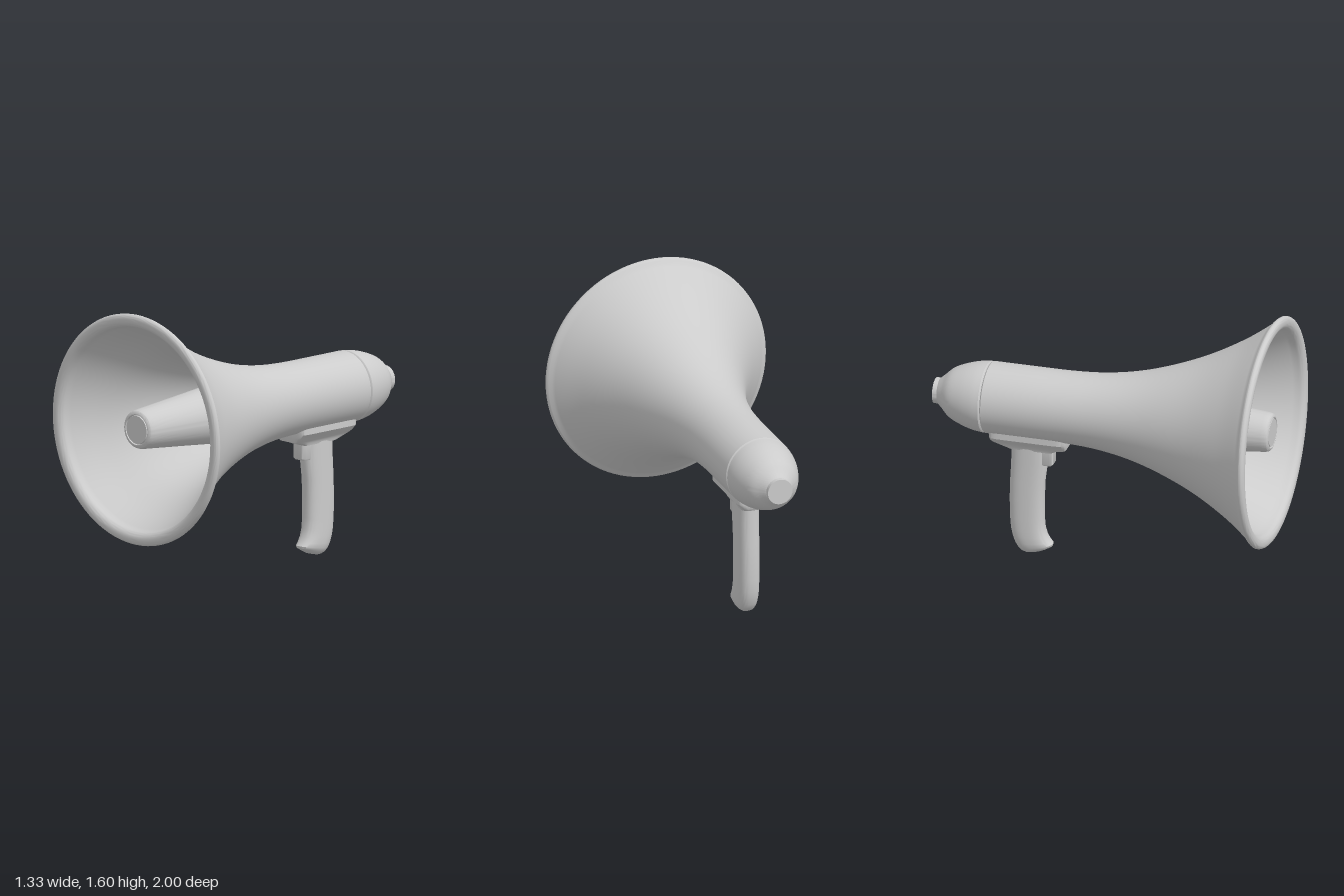
import * as THREE from 'three';
import { toCreasedNormals, mergeVertices } from 'three/addons/utils/BufferGeometryUtils.js';

const AXIS_Y = 0.933; // height of the horn axis

const material = new THREE.MeshStandardMaterial({ color: 0xcccccc });

// Smooth curve through [radius, z] points, returned as the same kind of pairs
function smooth(points, count) {
  const curve = new THREE.SplineCurve(points.map(([r, z]) => new THREE.Vector2(r, z)));
  return curve.getPoints(count).map((p) => [p.x, p.y]);
}

// Turned part around the horn axis; profile is [radius, z], outer side running forward
function turned(name, profile) {
  const pts = profile.map(([r, z]) => new THREE.Vector2(Math.max(r, 0), z));
  const geo = new THREE.LatheGeometry(pts, 96);
  geo.rotateX(Math.PI / 2);
  const mesh = new THREE.Mesh(toCreasedNormals(geo, 0.6), material);
  mesh.name = name;
  mesh.position.y = AXIS_Y;
  return mesh;
}

// Loft downward through superellipse sections: [front z, front y, back z, back y, half width]
function loft(name, sections, exponent, segments = 48) {
  const first = sections[0], last = sections[sections.length - 1];
  const collapse = ([fz, fy, bz, by]) => {
    const z = (fz + bz) / 2, y = (fy + by) / 2;
    return [z, y, z, y, 0];
  };
  const rings = [collapse(first), ...sections, collapse(last)];
  const power = (v) => Math.sign(v) * Math.pow(Math.abs(v), 2 / exponent);
  const pos = [], index = [];
  rings.forEach(([fz, fy, bz, by, hw], i) => {
    for (let j = 0; j < segments; j++) {
      const t = (j / segments) * Math.PI * 2;
      const k = (1 + power(Math.cos(t))) / 2; // 0 at the back, 1 at the front
      pos.push(power(Math.sin(t)) * hw, by + (fy - by) * k, bz + (fz - bz) * k);
      if (i === rings.length - 1) continue;
      const a = i * segments + j, b = i * segments + ((j + 1) % segments);
      const c = a + segments, d = b + segments;
      if (i > 0) index.push(a, c, b);
      if (i < rings.length - 2) index.push(b, c, d);
    }
  });
  const geo = new THREE.BufferGeometry();
  geo.setAttribute('position', new THREE.Float32BufferAttribute(pos, 3));
  geo.setIndex(index);
  const mesh = new THREE.Mesh(toCreasedNormals(mergeVertices(geo), 0.7), material);
  mesh.name = name;
  return mesh;
}

export function createModel() {
  const model = new THREE.Group();
  model.name = 'megaphone';

  // Flared horn: outer wall, rolled rim, inner wall down to the throat
  model.add(turned('horn', [
    [0.19, -0.688], [0.2, -0.684],
    ...smooth([[0.205, -0.678], [0.205, -0.45], [0.207, -0.2], [0.222, 0], [0.26, 0.2],
      [0.324, 0.4], [0.41, 0.6], [0.525, 0.8], [0.635, 0.95]], 48),
    ...smooth([[0.652, 0.96], [0.663, 0.975], [0.656, 0.993], [0.638, 1], [0.612, 0.997],
      [0.593, 0.982], [0.585, 0.962]], 20),
    ...smooth([[0.582, 0.945], [0.505, 0.8], [0.39, 0.6], [0.304, 0.4], [0.24, 0.2],
      [0.21, 0.04], [0.205, 0]], 36),
  ]));

  // Tapered driver cone inside the horn, with a round tip and a thin groove
  model.add(turned('innerCone', [
    [0.212, 0.005], [0.204, 0.03],
    ...smooth([[0.198, 0.06], [0.155, 0.5], [0.114, 0.94]], 12),
    ...smooth([[0.112, 0.955], [0.106, 0.972], [0.092, 0.98]], 8),
    [0.087, 0.98], [0.085, 0.97], [0.082, 0.97], [0.08, 0.98], [0, 0.98],
  ]));

  // Domed rear cap with its short end stub
  model.add(turned('rearCap', [
    [0, -1], [0.074, -1], [0.074, -0.974],
    ...smooth([[0.078, -0.97], [0.1, -0.945], [0.145, -0.895], [0.178, -0.82], [0.197, -0.75],
      [0.204, -0.695]], 28),
    [0.2, -0.69], [0.19, -0.686],
  ]));

  // Mounting plate that narrows toward the grip
  model.add(loft('handleMount', [
    [-0.218, 0.78, -0.656, 0.78, 0.12],
    [-0.214, 0.775, -0.66, 0.775, 0.125],
    [-0.214, 0.735, -0.66, 0.735, 0.125],
    [-0.215, 0.705, -0.658, 0.705, 0.095],
    [-0.22, 0.682, -0.65, 0.69, 0.076],
    [-0.27, 0.67, -0.6, 0.67, 0.066],
    [-0.3, 0.655, -0.555, 0.655, 0.062],
  ], 10));

  // Trigger under the plate
  model.add(loft('trigger', [
    [-0.3, 0.69, -0.42, 0.69, 0.045],
    [-0.3, 0.575, -0.42, 0.572, 0.045],
    [-0.308, 0.565, -0.42, 0.565, 0.04],
  ], 6));

  // Pistol grip with a forward lip at its rounded foot
  model.add(loft('grip', [
    [-0.34, 0.7, -0.55, 0.7, 0.065],
    [-0.343, 0.56, -0.552, 0.56, 0.065],
    [-0.357, 0.45, -0.558, 0.45, 0.065],
    [-0.361, 0.34, -0.561, 0.34, 0.065],
    [-0.361, 0.22, -0.559, 0.22, 0.065],
    [-0.356, 0.16, -0.553, 0.15, 0.065],
    [-0.343, 0.115, -0.545, 0.11, 0.065],
    [-0.325, 0.085, -0.53, 0.065, 0.064],
    [-0.309, 0.068, -0.513, 0.035, 0.061],
    [-0.312, 0.055, -0.493, 0.015, 0.053],
    [-0.34, 0.037, -0.47, 0.004, 0.037],
    [-0.375, 0.018, -0.45, 0, 0.018],
  ], 2.5));

  return model;
}
